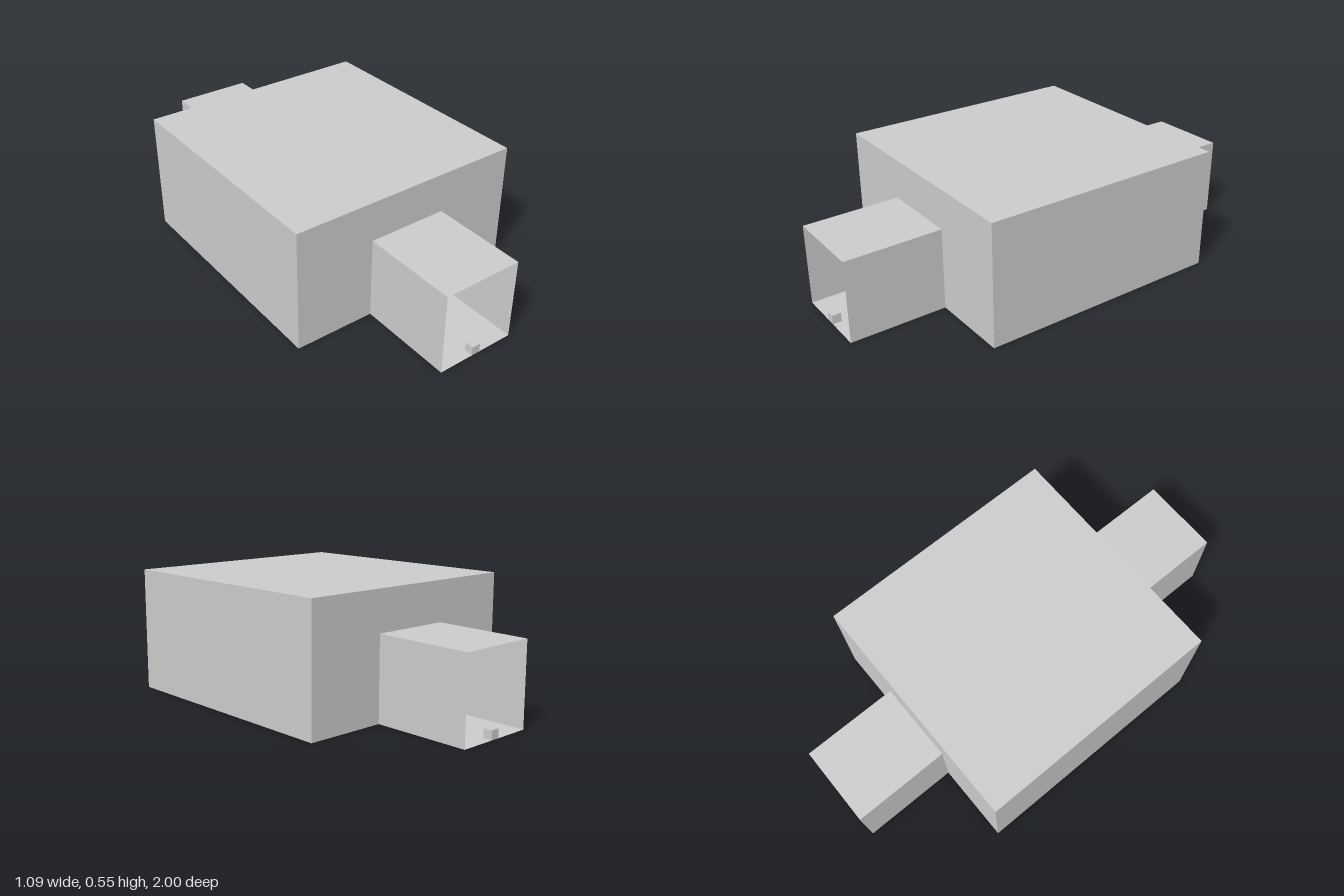
import * as THREE from 'three';

const W = 0.546, H = 0.55, D = 0.565;        // room half width, height, half depth
const w = 0.183, hIn = 0.37, hOut = 0.366;   // corridor half width, height at room and at mouth
const END = 1;                               // corridor mouth

const shellMat = new THREE.MeshStandardMaterial({ color: 0xcccccc, side: THREE.DoubleSide, flatShading: true });
const solidMat = new THREE.MeshStandardMaterial({ color: 0xcccccc, flatShading: true });

// Thin four-cornered panel, corners counter-clockwise seen from outside
function panel(name, a, b, c, d) {
  const geo = new THREE.BufferGeometry();
  geo.setAttribute('position', new THREE.Float32BufferAttribute([...a, ...b, ...c, ...d], 3));
  geo.setIndex([0, 1, 2, 0, 2, 3]);
  geo.computeVertexNormals();
  const mesh = new THREE.Mesh(geo, shellMat);
  mesh.name = name;
  return mesh;
}

// One end: wall with doorway, open corridor and the small block at its mouth
function createEnd(name) {
  const end = new THREE.Group();
  end.name = name;

  const outline = [[-W, 0], [-w, 0], [-w, hIn], [w, hIn], [w, 0], [W, 0], [W, H], [-W, H]];
  const shape = new THREE.Shape(outline.map(([x, y]) => new THREE.Vector2(x, y)));
  const wall = new THREE.Mesh(new THREE.ShapeGeometry(shape), shellMat);
  wall.name = 'doorwayWall';
  wall.position.z = D;
  end.add(wall);

  end.add(
    panel('corridorFloor', [-w, 0, D], [w, 0, D], [w, 0, END], [-w, 0, END]),
    panel('corridorRoof', [-w, hOut, END], [w, hOut, END], [w, hIn, D], [-w, hIn, D]),
    panel('corridorLeftWall', [w, 0, END], [w, 0, D], [w, hIn, D], [w, hOut, END]),
    panel('corridorRightWall', [-w, 0, D], [-w, 0, END], [-w, hOut, END], [-w, hIn, D])
  );

  const block = new THREE.Mesh(new THREE.BoxGeometry(0.04, 0.04, 0.04), solidMat);
  block.name = 'mouthBlock';
  block.position.set(0, 0.02, END - 0.02);
  end.add(block);
  return end;
}

export function createModel() {
  const model = new THREE.Group();
  model.name = 'roomWithCorridors';

  // Hollow room
  const room = new THREE.Group();
  room.name = 'room';
  room.add(
    panel('roomFloor', [-W, 0, -D], [W, 0, -D], [W, 0, D], [-W, 0, D]),
    panel('roomCeiling', [-W, H, D], [W, H, D], [W, H, -D], [-W, H, -D]),
    panel('roomLeftWall', [W, 0, D], [W, 0, -D], [W, H, -D], [W, H, D]),
    panel('roomRightWall', [-W, 0, -D], [-W, 0, D], [-W, H, D], [-W, H, -D])
  );
  model.add(room);

  // Matching ends, front and back
  const back = createEnd('backEnd');
  back.rotation.y = Math.PI;
  model.add(createEnd('frontEnd'), back);
  return model;
}
